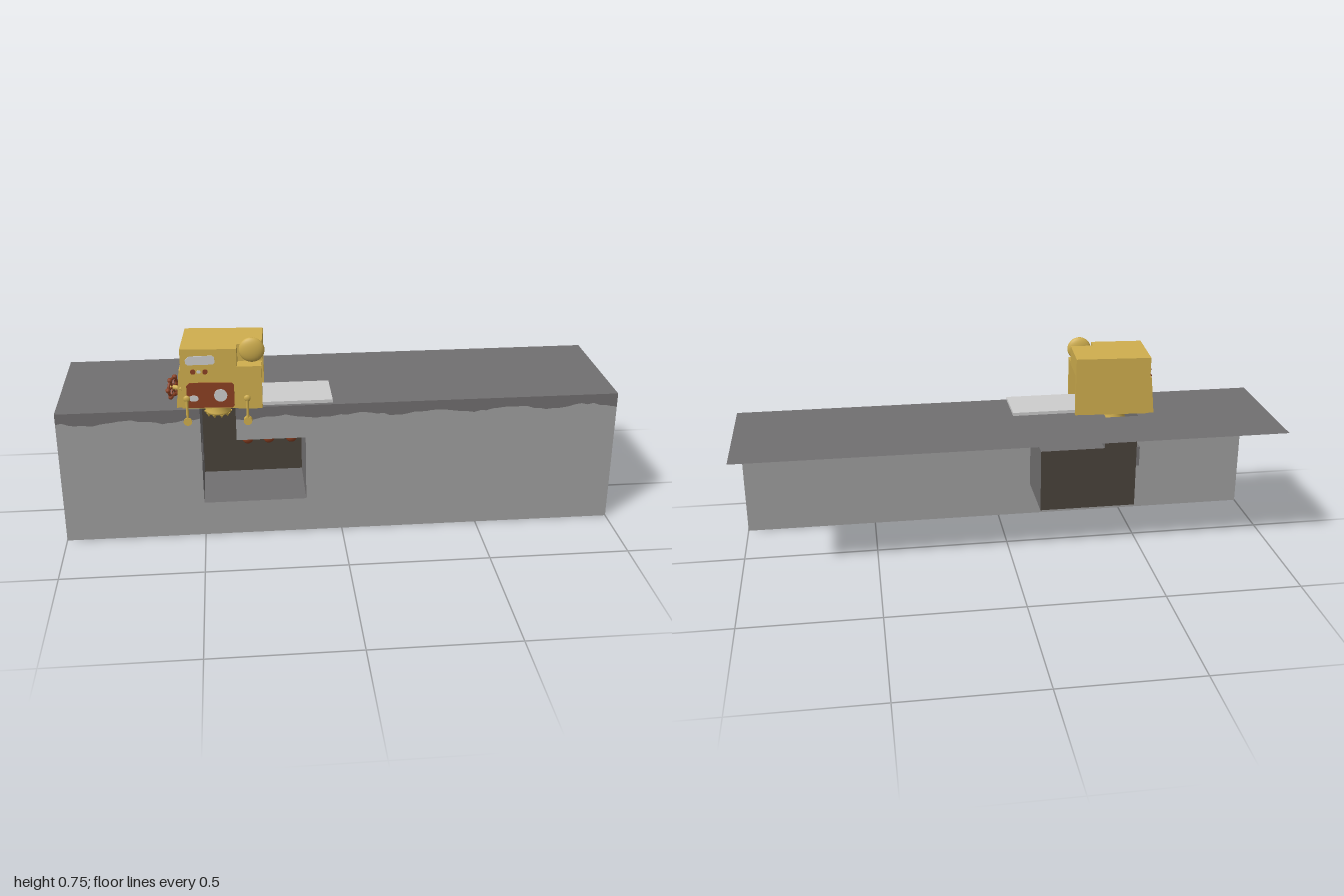
import * as THREE from 'three';

const mat = (name, color, side = THREE.FrontSide) => {
  const m = new THREE.MeshStandardMaterial({ color, side });
  m.name = name;
  return m;
};
const stone = mat('light stone', 0xa0a0a0, THREE.DoubleSide);
const earth = mat('dark ground', 0x716f70, THREE.DoubleSide);
const brown = mat('dark brown', 0x4a443b, THREE.DoubleSide);
const gold = mat('gold metal', 0xcfae4e, THREE.DoubleSide);
const rust = mat('rust', 0x8c4022);
const pale = mat('pale metal', 0xcdcdcd);

function add(parent, name, geo, material, x = 0, y = 0, z = 0) {
  const m = new THREE.Mesh(geo, material);
  m.name = name;
  m.position.set(x, y, z);
  parent.add(m);
  return m;
}
// Box given by its limits
function box(parent, name, material, x0, x1, y0, y1, z0, z1) {
  return add(parent, name, new THREE.BoxGeometry(x1 - x0, y1 - y0, z1 - z0), material,
    (x0 + x1) / 2, (y0 + y1) / 2, (z0 + z1) / 2);
}
const poly = pts => new THREE.Shape(pts.map(p => new THREE.Vector2(...p)));
const rect = (x0, x1, y0, y1) => [[x0, y0], [x1, y0], [x1, y1], [x0, y1]];
const flat = (pts, hole) => {
  const s = poly(pts);
  if (hole) s.holes.push(poly(hole));
  return new THREE.ShapeGeometry(s);
};
// Thin sheet following an xy path, running from z0 to z1
function sheet(path, z0, z1) {
  const pos = [];
  for (let i = 0; i < path.length - 1; i++) {
    const [a, b] = path[i], [c, d] = path[i + 1];
    pos.push(a, b, z0, c, d, z0, c, d, z1, a, b, z0, c, d, z1, a, b, z1);
  }
  const g = new THREE.BufferGeometry();
  g.setAttribute('position', new THREE.Float32BufferAttribute(pos, 3));
  g.computeVertexNormals();
  return g;
}

function buildGround(root) {
  const Z = 0.238;
  // Ground surface with an opening above the shaft
  const top = flat([[-1, -0.26], [1, -0.26], [1, Z], [-0.375, Z], [-0.375, -0.01], [-0.5, -0.01], [-0.5, Z], [-1, Z]]);
  add(root, 'groundSurface', top.rotateX(Math.PI / 2), earth, 0, 0.5, 0);

  // Ragged border between soil and stone
  let seed = 7;
  const rnd = () => (seed = (seed * 16807) % 2147483647) / 2147483647;
  const ragged = (x0, x1) => {
    const n = Math.round((x1 - x0) / 0.022), pts = [];
    for (let i = 0; i <= n; i++) {
      const x = x0 + (x1 - x0) * i / n;
      pts.push([x, 0.458 + 0.007 * Math.sin(x * 23) + 0.008 * (rnd() - 0.5)]);
    }
    return pts;
  };
  const left = ragged(-1, -0.5), right = ragged(-0.375, 1);
  add(root, 'frontWall', flat([[-1, 0], [1, 0], ...[...right].reverse(), [-0.375, 0.375], [-0.13, 0.375],
    [-0.13, 0.13], [-0.5, 0.13], ...[...left].reverse()]), stone, 0, 0, Z);
  add(root, 'soilBandRight', flat([...left, [-0.5, 0.5], [-1, 0.5]]), earth, 0, 0, Z);
  add(root, 'soilBandLeft', flat([...right, [1, 0.5], [-0.375, 0.5]]), earth, 0, 0, Z);

  // Underground chamber and shaft
  const L = [[-0.375, 0.5], [-0.375, 0.375], [-0.13, 0.375], [-0.13, 0.13], [-0.5, 0.13]];
  add(root, 'chamberWalls', sheet(L, -0.01, Z), earth);
  add(root, 'chamberBack', flat([...L, [-0.5, 0.5]]), brown, 0, 0, -0.01);
  const niche = rect(0.09, 0.19, 0.25, 0.33);
  const turn = g => g.rotateY(-Math.PI / 2);
  add(root, 'shaftWall', turn(flat(rect(-0.01, Z, 0.13, 0.5), niche)), earth, -0.5);
  add(root, 'nicheSides', turn(sheet([...niche, niche[0]], 0, 0.04)), earth, -0.5);
  add(root, 'nicheBack', turn(flat(niche)), earth, -0.54);

  // Rusty lumps under the chamber ceiling
  for (const x of [-0.335, -0.26, -0.18]) {
    add(root, 'ceilingLump', new THREE.SphereGeometry(0.021, 12, 8), rust, x, 0.371, 0.212);
  }
}

function buildMachine(root) {
  const g = new THREE.Group();
  g.name = 'machine';
  g.position.set(-0.413, 0.5, 0.128);
  g.rotation.y = -0.063;
  root.add(g);

  // Hollow housing, open on one side, with a stepped corner
  box(g, 'backWall', gold, -0.14, 0.14, 0, 0.15, -0.108, -0.088);
  box(g, 'sideWall', gold, -0.14, -0.125, 0, 0.15, -0.088, 0.09);
  box(g, 'frontPanel', gold, -0.14, 0.055, 0, 0.15, 0.09, 0.108);
  box(g, 'frontCorner', gold, 0.055, 0.14, 0, 0.158, 0.09, 0.113);
  box(g, 'roof', gold, -0.14, 0.14, 0.15, 0.22, -0.108, 0.06);
  box(g, 'roofFront', gold, -0.14, 0.055, 0.15, 0.22, 0.06, 0.108);
  box(g, 'cornerLedge', gold, 0.055, 0.14, 0.15, 0.158, 0.06, 0.09);
  // Sloping cover on the closed side
  const wedge = new THREE.ExtrudeGeometry(poly([[-0.14, 0.14], [-0.147, 0.14], [-0.16, 0], [-0.14, 0]]),
    { depth: 0.2, bevelEnabled: false });
  add(g, 'sideCover', wedge, gold, 0, 0, -0.1);

  // Flattened bell on the corner ledge
  add(g, 'bell', new THREE.SphereGeometry(0.045, 24, 16), gold, 0.106, 0.205, 0.075).scale.z = 0.38;

  // Front plates, lamps and dials
  const plate = (name, pts, m, z, d) => add(g, name,
    new THREE.ExtrudeGeometry(poly(pts), { depth: d, bevelEnabled: false }), m, 0, 0, z);
  plate('displayPlate', [[-0.122, 0.17], [-0.115, 0.163], [-0.027, 0.165], [-0.02, 0.172],
    [-0.022, 0.192], [-0.03, 0.197], [-0.108, 0.195], [-0.122, 0.182]], pale, 0.108, 0.003);
  plate('controlPanel', [[-0.118, 0.004], [0.036, 0.004], [0.043, 0.012], [0.043, 0.088],
    [0.036, 0.097], [-0.11, 0.097], [-0.122, 0.085], [-0.122, 0.012]], rust, 0.108, 0.004);
  const disc = (name, m, x, y, r, z, sy = 1) => add(g, name,
    new THREE.CylinderGeometry(r, r, 0.005, 20).rotateX(Math.PI / 2), m, x, y, z).scale.y = sy;
  disc('lamp', rust, -0.097, 0.138, 0.009, 0.11);
  disc('lamp', rust, -0.055, 0.138, 0.009, 0.11);
  disc('lampGlass', pale, -0.077, 0.138, 0.007, 0.11, 0.8);
  disc('dial', pale, -0.004, 0.051, 0.023, 0.113);
  disc('smallDial', pale, -0.098, 0.04, 0.017, 0.113, 0.65);

  // Two hanging levers with roller grips
  for (const x of [-0.122, 0.088]) {
    const lever = new THREE.Group();
    lever.name = 'lever';
    lever.position.set(x, 0, 0.118);
    g.add(lever);
    add(lever, 'leverRod', new THREE.CylinderGeometry(0.005, 0.005, 0.085, 10), gold, 0, -0.003, 0);
    add(lever, 'leverPivot', new THREE.SphereGeometry(0.012, 12, 8), gold, 0, 0.041, 0).scale.z = 0.5;
    add(lever, 'leverGrip', new THREE.CylinderGeometry(0.015, 0.015, 0.036, 16).rotateX(Math.PI / 2),
      gold, 0, -0.045, -0.013);
  }

  // Valve wheel beside the housing
  const wheel = new THREE.Group();
  wheel.name = 'valveWheel';
  wheel.position.set(-0.172, 0.072, 0.083);
  wheel.rotation.y = 1.2;
  g.add(wheel);
  add(wheel, 'wheelRim', new THREE.TorusGeometry(0.032, 0.005, 8, 24), rust);
  add(wheel, 'wheelHub', new THREE.CylinderGeometry(0.008, 0.008, 0.05, 10).rotateX(Math.PI / 2), gold, 0, 0, 0.012);
  for (let i = 0; i < 6; i++) {
    const a = i * Math.PI / 3;
    add(wheel, 'wheelKnob', new THREE.SphereGeometry(0.009, 10, 6), rust, 0.036 * Math.cos(a), 0.036 * Math.sin(a), 0);
    if (i < 3) add(wheel, 'wheelSpoke', new THREE.BoxGeometry(0.064, 0.006, 0.005), rust).rotation.z = a;
  }
}

function buildDrill(root) {
  // Hollow core drill with a toothed rim
  const drill = new THREE.Group();
  drill.name = 'drill';
  drill.position.set(-0.437, 0, 0.13);
  root.add(drill);
  const profile = [[0, 0.528], [0.04, 0.528], [0.04, 0.47], [0.046, 0.452], [0.046, 0.445], [0.036, 0.445], [0, 0.46]];
  add(drill, 'drillBody', new THREE.LatheGeometry(profile.reverse().map(p => new THREE.Vector2(...p)), 24), gold);
  for (let i = 0; i < 10; i++) {
    const a = i * Math.PI / 5;
    add(drill, 'drillTooth', new THREE.ConeGeometry(0.009, 0.014, 6).rotateX(Math.PI), gold,
      0.041 * Math.cos(a), 0.439, 0.041 * Math.sin(a));
  }
}

export function createModel() {
  const root = new THREE.Group();
  root.name = 'undergroundDrillScene';
  buildGround(root);
  buildMachine(root);
  buildDrill(root);
  // Flat tray leading out of the machine
  box(root, 'outputTray', pale, -0.36, -0.032, 0.502, 0.514, 0.05, 0.228);
  return root;
}
